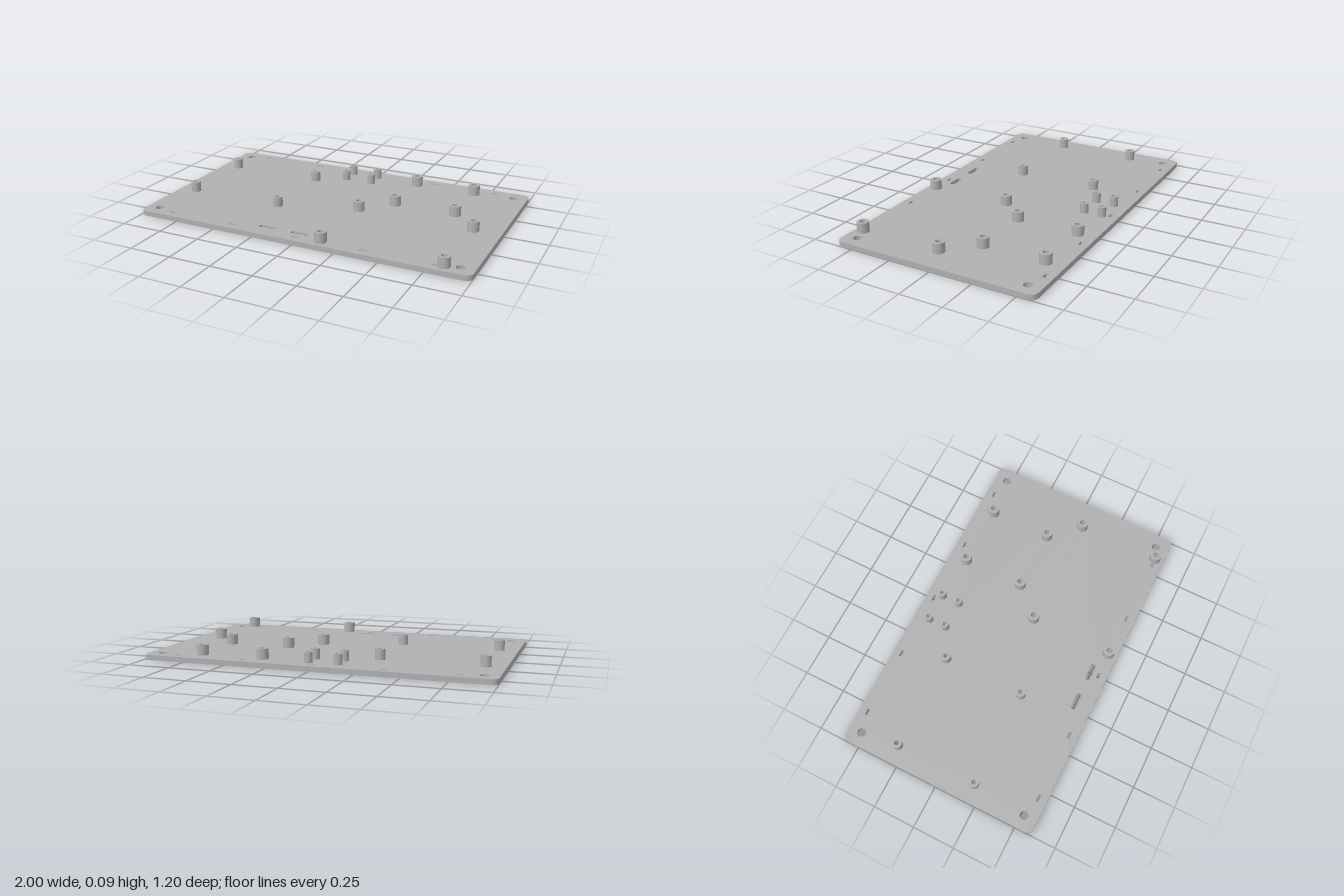
import * as THREE from 'three';

const PLATE = 0.03, TOP = 0.09;

// Rounded rectangle centred on (x, z); r = 0 gives square corners
function roundedRect(path, x, z, w, d, r) {
  const a = w / 2 - r, b = d / 2 - r;
  if (r === 0) {
    path.moveTo(x - a, z - b).lineTo(x + a, z - b).lineTo(x + a, z + b).lineTo(x - a, z + b);
  } else {
    path.moveTo(x - a, z - b - r);
    path.absarc(x + a, z - b, r, -Math.PI / 2, 0);
    path.absarc(x + a, z + b, r, 0, Math.PI / 2);
    path.absarc(x - a, z + b, r, Math.PI / 2, Math.PI);
    path.absarc(x - a, z - b, r, Math.PI, Math.PI * 1.5);
  }
  path.closePath();
  return path;
}

function circle(path, x, z, r) {
  path.absarc(x, z, r, 0, Math.PI * 2);
  return path;
}

// Extrude a plan shape (x, z) upwards from y0 to y1
function extrudeUp(shape, y0, y1) {
  const g = new THREE.ExtrudeGeometry(shape, { depth: y1 - y0, bevelEnabled: false, curveSegments: 16 });
  g.rotateX(Math.PI / 2);
  g.translate(0, y1, 0);
  return g;
}

export function createModel() {
  const model = new THREE.Group();
  model.name = 'mountingPlate';
  const grey = new THREE.MeshStandardMaterial({ color: 0xb0b0b0 });
  grey.name = 'grey';

  // Standoff patterns: outer radius, bore radius, columns, rows
  const patterns = [
    { name: 'largeStandoff', r: 0.034, bore: 0.017, xs: [0.31, 0.68], zs: [-0.49, -0.12] },
    { name: 'largeStandoff', r: 0.034, bore: 0.017, xs: [0.15, 0.84], zs: [0.05, 0.545] },
    { name: 'mediumStandoff', r: 0.029, bore: 0.014, xs: [-0.89, -0.31], zs: [-0.297, 0.193] },
    { name: 'smallStandoff', r: 0.024, bore: 0.012, xs: [-0.137, 0.033], zs: [-0.507, -0.397] },
  ];

  const plate = roundedRect(new THREE.Shape(), 0, 0, 2, 1.2, 0.04);
  const cut = (path) => plate.holes.push(path);

  // Corner screw holes and narrow edge slots
  for (const z of [-1, 1]) {
    for (const x of [-0.92, 0.92]) cut(circle(new THREE.Path(), x, z * 0.52, 0.025));
    for (const x of [-0.8, -0.4, 0, 0.4, 0.8]) {
      cut(roundedRect(new THREE.Path(), x, z * 0.55, 0.04, 0.016, 0));
    }
  }
  // Cable slots near the front
  for (const x of [-0.2, 0]) cut(roundedRect(new THREE.Path(), x, 0.5, 0.104, 0.03, 0.01));

  // Hollow standoffs, with the bore running through the plate
  for (const { name, r, bore, xs, zs } of patterns) {
    const ring = circle(new THREE.Shape(), 0, 0, r);
    ring.holes.push(circle(new THREE.Path(), 0, 0, bore));
    const geometry = extrudeUp(ring, PLATE, TOP);
    for (const x of xs) for (const z of zs) {
      cut(circle(new THREE.Path(), x, z, bore));
      const standoff = new THREE.Mesh(geometry, grey);
      standoff.name = name;
      standoff.position.set(x, 0, z);
      model.add(standoff);
    }
  }

  const base = new THREE.Mesh(extrudeUp(plate, 0, PLATE), grey);
  base.name = 'basePlate';
  model.add(base);
  return model;
}
